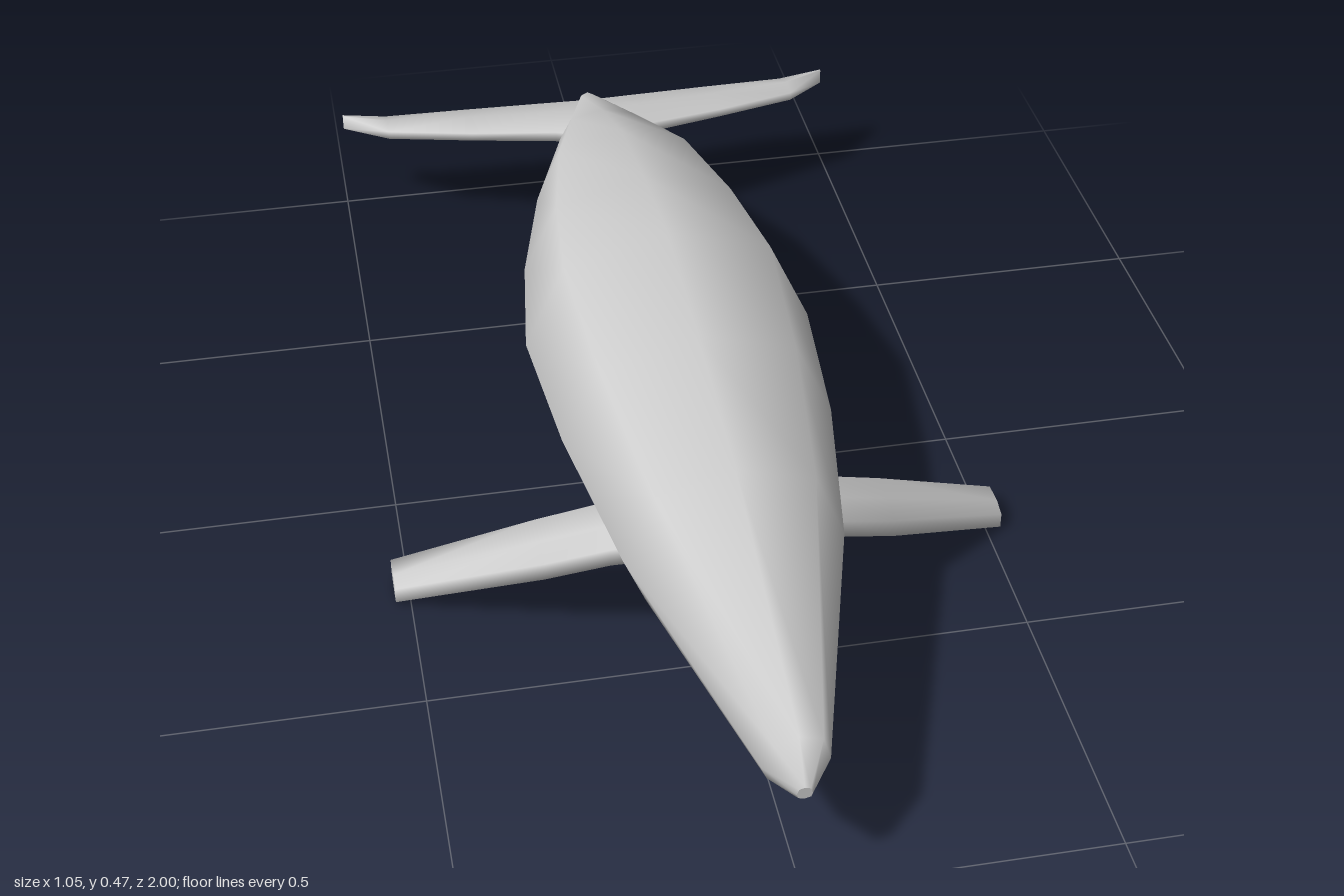
import * as THREE from 'three';

// Skin a list of equal-length rings, closing both ends; faces always turn outward.
function loft(rings) {
  const n = rings[0].length, pos = rings.flat(2), idx = [];
  for (let i = 0; i < rings.length - 1; i++) {
    for (let j = 0; j < n; j++) {
      const a = i * n + j, b = i * n + (j + 1) % n;
      idx.push(a, b, a + n, b, b + n, a + n);
    }
  }
  // End caps with their own vertices, so the rims stay crisp
  [rings[0], rings[rings.length - 1]].forEach((ring, end) => {
    const base = pos.length / 3;
    pos.push(...ring.flat());
    for (let j = 1; j < n - 1; j++) {
      if (end) idx.push(base, base + j, base + j + 1);
      else idx.push(base, base + j + 1, base + j);
    }
  });
  // Signed volume tells whether the winding points inward
  const p = idx.map(i => new THREE.Vector3().fromArray(pos, i * 3));
  let volume = 0;
  for (let i = 0; i < p.length; i += 3) volume += p[i].dot(p[i + 1].clone().cross(p[i + 2]));
  if (volume < 0) idx.reverse();
  const geo = new THREE.BufferGeometry();
  geo.setAttribute('position', new THREE.Float32BufferAttribute(pos, 3));
  geo.setIndex(idx);
  geo.computeVertexNormals();
  return geo;
}

// Eight-sided body section; the belly may sit at a different z from the back
function bodyRing([zTop, zBottom, top, bottom, w, mid]) {
  const h = top - bottom;
  const half = [[0, top], [0.72 * w, top - 0.13 * h], [w, mid], [0.8 * w, bottom + 0.12 * h], [0, bottom]];
  const outline = [...half, ...half.slice(1, 4).reverse().map(([x, y]) => [-x, y])];
  return outline.map(([x, y]) => [x, y, zBottom + (zTop - zBottom) * (y - bottom) / h]);
}

// Six-sided fin section at x: leading and trailing edge plus thickness
function finRing(side, [x, zLead, yLead, zTrail, yTrail, thick, edge]) {
  const at = (t, o) => [side * x, yLead + (yTrail - yLead) * t + o, zLead + (zTrail - zLead) * t];
  return [at(0, edge), at(0.4, thick), at(1, edge), at(1, -edge), at(0.4, -thick), at(0, -edge)];
}

export function createModel() {
  const model = new THREE.Group();
  const skin = new THREE.MeshStandardMaterial({ color: 0xcccccc });
  skin.name = 'grey skin';
  const add = (name, rings) => {
    const mesh = new THREE.Mesh(loft(rings), skin);
    mesh.name = name;
    model.add(mesh);
  };

  // Body from snout to tail: zTop, zBottom, top, bottom, half width, widest height
  add('body', [
    [0.995, 0.995, 0.212, 0.19, 0.012, 0.2],
    [0.95, 0.93, 0.27, 0.163, 0.052, 0.205],
    [0.5, 0.5, 0.402, 0.125, 0.178, 0.245],
    [0.2, 0.2, 0.443, 0.09, 0.228, 0.26],
    [-0.07, -0.07, 0.467, 0.078, 0.25, 0.265],
    [-0.3, -0.3, 0.437, 0.095, 0.22, 0.265],
    [-0.54, -0.5, 0.39, 0.167, 0.165, 0.27],
    [-0.77, -0.75, 0.3, 0.2, 0.085, 0.25],
    [-0.96, -0.96, 0.23, 0.177, 0.018, 0.203],
  ].map(bodyRing));

  for (const [label, side] of [['left', 1], ['right', -1]]) {
    // Tail fluke, sloping down toward its trailing edge
    add(label + 'Fluke', [
      [0, -0.73, 0.25, -0.96, 0.2, 0.032, 0.012],
      [0.09, -0.775, 0.245, -0.975, 0.195, 0.03, 0.01],
      [0.25, -0.838, 0.225, -1, 0.185, 0.024, 0.008],
      [0.41, -0.9, 0.21, -1, 0.187, 0.02, 0.008],
      [0.495, -0.992, 0.195, -1, 0.193, 0.016, 0.014],
    ].map(s => finRing(side, s)));

    // Pectoral flipper, swept back and down
    add(label + 'Flipper', [
      [0.15, 0.472, 0.23, 0.35, 0.23, 0.026, 0.016],
      [0.19, 0.452, 0.213, 0.335, 0.213, 0.028, 0.016],
      [0.29, 0.4, 0.155, 0.29, 0.158, 0.028, 0.016],
      [0.525, 0.26, 0.02, 0.188, 0.024, 0.02, 0.014],
    ].map(s => finRing(side, s)));
  }
  return model;
}
